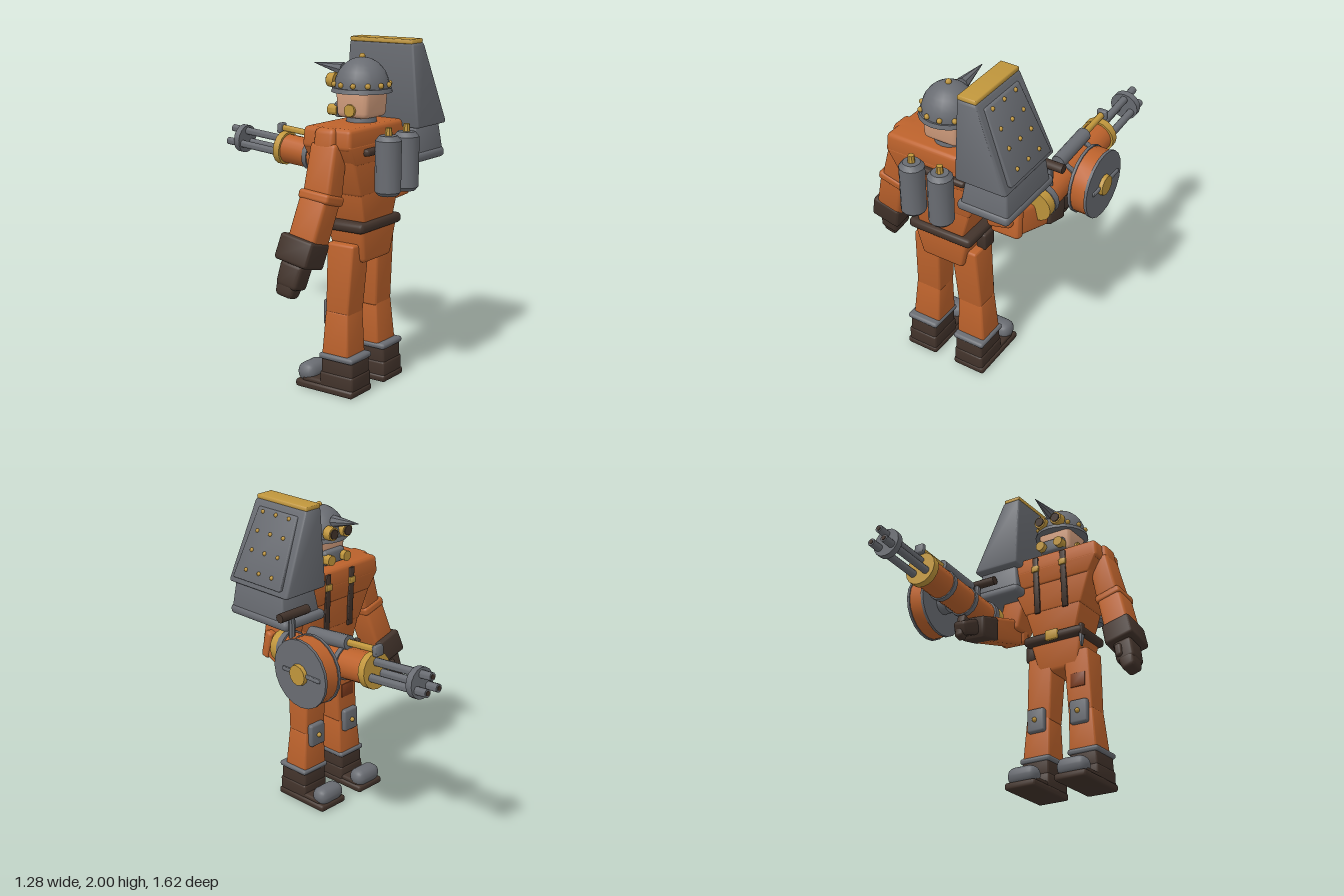
import * as THREE from 'three';
import { RoundedBoxGeometry } from 'three/addons/geometries/RoundedBoxGeometry.js';
import { toCreasedNormals } from 'three/addons/utils/BufferGeometryUtils.js';

const mat = (name, color) => { const m = new THREE.MeshStandardMaterial({ color }); m.name = name; return m; };
const orange = mat('orange suit', 0xbc622c), grey = mat('steel grey', 0x696c72), brown = mat('dark brown', 0x42332b);
const gold = mat('brass', 0xc0963c), skin = mat('skin', 0xd09c7c), patchMat = mat('rust patch', 0x7c3a1c);
const V = (x, y, z) => new THREE.Vector3(x, y, z);
const CX = -0.065, CZ = 0.5; // body centre line

export function createModel() {
  const root = new THREE.Group();
  root.name = 'armouredGunner';
  const add = (name, geo, m, parent = root) => {
    const mesh = new THREE.Mesh(geo, m);
    mesh.name = name;
    parent.add(mesh);
    return mesh;
  };
  // Rounded block lofted from a bottom to a top rectangle [x0, x1, z0, z1]
  const block = (name, m, y0, y1, b, t = b, r = 0.015, parent = root) => {
    const w = Math.max(b[1] - b[0], t[1] - t[0]), d = Math.max(b[3] - b[2], t[3] - t[2]), h = y1 - y0;
    const geo = new RoundedBoxGeometry(w, h, d, 2, Math.min(r, w / 2.1, h / 2.1, d / 2.1));
    const p = geo.attributes.position, L = THREE.MathUtils.lerp;
    for (let i = 0; i < p.count; i++) {
      const u = p.getX(i) / w + 0.5, v = p.getY(i) / h + 0.5, q = p.getZ(i) / d + 0.5;
      p.setXYZ(i, L(L(b[0], b[1], u), L(t[0], t[1], u), v), L(y0, y1, v), L(L(b[2], b[3], q), L(t[2], t[3], q), v));
    }
    return add(name, toCreasedNormals(geo, 0.7), m, parent);
  };
  // Tapered limb from a (top size) to c (bottom size)
  const limb = (name, m, a, c, top, bot, r = 0.025) => {
    const h = a.distanceTo(c), f = ([w, d]) => [-w / 2, w / 2, -d / 2, d / 2];
    const mesh = block(name, m, -h / 2, h / 2, f(bot), f(top), r);
    mesh.position.copy(a).add(c).multiplyScalar(0.5);
    mesh.quaternion.setFromUnitVectors(V(0, 1, 0), a.clone().sub(c).normalize());
    return mesh;
  };
  const cyl = (name, m, r0, r1, h, pos, axis = 'y', seg = 16, parent = root) => {
    const mesh = add(name, toCreasedNormals(new THREE.CylinderGeometry(r1, r0, h, seg), 0.7), m, parent);
    if (axis === 'x') mesh.rotation.z = -Math.PI / 2;
    if (axis === 'z') mesh.rotation.x = -Math.PI / 2; // r1 end points to -z
    mesh.position.copy(pos);
    return mesh;
  };
  const rivet = (pos, r = 0.013, parent = root) =>
    add('rivet', new THREE.SphereGeometry(r, 8, 6), gold, parent).position.copy(pos);

  // Legs and boots
  for (const s of [-1, 1]) {
    const side = s > 0 ? 'left' : 'right';
    const R = (a, b, z0, z1) => (s > 0 ? [CX + a, CX + b, z0, z1] : [CX - b, CX - a, z0, z1]);
    block(side + 'Sole', brown, 0.005, 0.05, R(0.065, 0.275, 0.24, 0.635));
    block(side + 'Foot', brown, 0.04, 0.075, R(0.075, 0.265, 0.28, 0.5));
    block(side + 'Boot', brown, 0.03, 0.13, R(0.07, 0.265, 0.405, 0.63));
    block(side + 'BootShaft', brown, 0.11, 0.22, R(0.075, 0.26, 0.41, 0.625), R(0.075, 0.255, 0.41, 0.62));
    block(side + 'ToeCap', grey, 0.035, 0.145, R(0.07, 0.268, 0.235, 0.355), undefined, 0.05);
    block(side + 'BootBand', grey, 0.205, 0.24, R(0.062, 0.27, 0.4, 0.63));
    block(side + 'Shin', orange, 0.22, 0.49, R(0.068, 0.255, 0.41, 0.59), R(0.068, 0.23, 0.42, 0.57));
    block(side + 'Thigh', orange, 0.46, 0.88, R(0.066, 0.23, 0.42, 0.57), R(0.04, 0.213, 0.415, 0.595));
    block(side + 'KneePad', grey, 0.39, 0.54, R(0.09, 0.21, 0.388, 0.435));
    rivet(V(CX + s * 0.15, 0.465, 0.383), 0.016);
  }
  block('thighPatch', patchMat, 0.63, 0.72, [CX - 0.19, CX - 0.09, 0.412, 0.42], undefined, 0.003);

  // Pelvis, belt and torso
  const T = (w, z0, z1) => [CX - w, CX + w, z0, z1];
  block('pelvis', orange, 0.77, 0.98, T(0.135, 0.42, 0.62), T(0.185, 0.39, 0.635), 0.025);
  block('belt', brown, 0.95, 1.01, T(0.21, 0.35, 0.65), undefined, 0.025);
  block('buckle', gold, 0.945, 1.015, T(0.045, 0.337, 0.36));
  block('waist', orange, 1.0, 1.19, T(0.15, 0.38, 0.625), T(0.205, 0.365, 0.635));
  block('ribs', orange, 1.16, 1.38, T(0.2, 0.365, 0.635), T(0.29, 0.345, 0.645));
  block('chest', orange, 1.34, 1.46, T(0.27, 0.345, 0.645), T(0.34, 0.33, 0.65));
  block('shoulderYoke', orange, 1.43, 1.55, T(0.34, 0.33, 0.65), T(0.33, 0.335, 0.645), 0.025);
  block('backStrap', brown, 1.39, 1.43, T(0.2, 0.63, 0.68));
  for (const s of [-1, 1]) {
    const x = CX + s * 0.1;
    block('suspender', brown, 1.15, 1.53, [x - 0.02, x + 0.02, 0.345, 0.36], [x - 0.02, x + 0.02, 0.322, 0.34], 0.005);
    block('suspenderClip', gold, 1.43, 1.47, [x - 0.025, x + 0.025, 0.318, 0.335], undefined, 0.004);
  }
  block('beltPouch', brown, 0.865, 0.975, [0.1, 0.165, 0.415, 0.515]);
  block('knifeHandle', brown, 0.94, 1.02, [-0.275, -0.25, 0.36, 0.4], undefined, 0.008);
  block('knifeBlade', grey, 0.87, 0.95, [-0.265, -0.255, 0.37, 0.385], [-0.272, -0.25, 0.36, 0.4], 0.004);

  // Back tanks
  for (const x of [-0.158, 0.028]) {
    const pts = [[0, 1.17], [0.055, 1.17], [0.073, 1.19], [0.073, 1.475], [0.05, 1.502], [0, 1.502]];
    const g = new THREE.LatheGeometry(pts.map(p => new THREE.Vector2(...p)), 12);
    add('backTank', toCreasedNormals(g, 0.6), grey).position.set(x, 0, 0.738);
    cyl('tankValve', gold, 0.022, 0.018, 0.05, V(x, 1.52, 0.738), 'y', 8);
  }

  // Head and helmet
  cyl('collar', grey, 0.09, 0.08, 0.05, V(CX, 1.565, CZ));
  block('head', skin, 1.575, 1.75, T(0.11, 0.4, 0.6), T(0.115, 0.39, 0.61), 0.03);
  block('respirator', grey, 1.57, 1.66, T(0.085, 0.365, 0.42), undefined, 0.02);
  const dome = add('helmetDome', new THREE.SphereGeometry(0.155, 20, 8, 0, Math.PI * 2, 0, Math.PI / 2), grey);
  dome.scale.y = 1.1;
  dome.position.set(CX, 1.738, CZ);
  cyl('helmetBrim', grey, 0.172, 0.165, 0.025, V(CX, 1.728, CZ), 'y', 20);
  rivet(V(CX, 1.912, CZ), 0.018);
  for (let i = 0; i < 12; i++) {
    const a = (i + 0.5) * Math.PI / 6;
    rivet(V(CX + 0.157 * Math.sin(a), 1.76, CZ + 0.157 * Math.cos(a)), 0.016);
  }
  cyl('helmetSpike', grey, 0.038, 0.002, 0.2, V(CX, 1.845, 0.275), 'z', 8).rotation.x += 0.12;
  for (const s of [-1, 1]) {
    cyl('goggleRim', gold, 0.044, 0.04, 0.05, V(CX + s * 0.058, 1.775, 0.345), 'z', 12);
    cyl('goggleLens', brown, 0.03, 0.03, 0.01, V(CX + s * 0.058, 1.775, 0.317), 'z', 12);
    cyl('respiratorCanister', gold, 0.032, 0.032, 0.06, V(CX + s * 0.065, 1.61, 0.36), 'z', 10);
    cyl('earPiece', gold, 0.035, 0.035, 0.025, V(CX + s * 0.115, 1.62, CZ), 'x', 10);
  }

  // Right arm hanging
  block('rightShoulder', orange, 1.4, 1.55, [-0.44, -0.3, 0.42, 0.56], [-0.42, -0.3, 0.425, 0.555], 0.03);
  limb('rightUpperArm', orange, V(-0.365, 1.46, 0.49), V(-0.43, 1.17, 0.49), [0.13, 0.17], [0.15, 0.18]);
  limb('rightElbowBand', orange, V(-0.43, 1.2, 0.49), V(-0.445, 1.145, 0.485), [0.175, 0.2], [0.17, 0.2], 0.02);
  limb('rightForearm', orange, V(-0.44, 1.17, 0.485), V(-0.515, 0.9, 0.445), [0.16, 0.18], [0.165, 0.18]);
  limb('rightCuff', brown, V(-0.512, 0.955, 0.44), V(-0.55, 0.81, 0.415), [0.185, 0.22], [0.19, 0.22], 0.02);
  limb('rightHand', brown, V(-0.55, 0.82, 0.41), V(-0.58, 0.68, 0.385), [0.125, 0.15], [0.12, 0.14]);
  limb('rightFingers', brown, V(-0.575, 0.72, 0.385), V(-0.6, 0.63, 0.37), [0.11, 0.13], [0.08, 0.11]);
  limb('rightThumb', brown, V(-0.53, 0.8, 0.34), V(-0.545, 0.71, 0.325), [0.05, 0.05], [0.045, 0.045], 0.02);

  // Left arm reaching forward to the gun
  limb('leftUpperArm', orange, V(0.2, 1.47, 0.49), V(0.29, 1.12, 0.48), [0.16, 0.18], [0.16, 0.18]);
  limb('leftElbowBand', orange, V(0.3, 1.14, 0.53), V(0.305, 1.13, 0.47), [0.19, 0.17], [0.19, 0.17], 0.02);
  limb('leftForearm', orange, V(0.3, 1.135, 0.51), V(0.35, 1.06, 0.2), [0.16, 0.16], [0.16, 0.16]);
  limb('leftCuff', brown, V(0.345, 1.07, 0.255), V(0.365, 1.04, 0.11), [0.19, 0.15], [0.19, 0.14], 0.02);
  limb('leftHand', brown, V(0.365, 1.05, 0.12), V(0.385, 1.0, 0.0), [0.12, 0.1], [0.1, 0.09]);
  limb('gunGrip', brown, V(0.39, 1.1, 0.06), V(0.39, 0.945, 0.02), [0.06, 0.07], [0.055, 0.06], 0.015);

  // Shoulder shield
  block('shieldPlate', grey, 1.5, 1.98, [0.13, 0.455, 0.25, 0.755], [0.13, 0.245, 0.285, 0.71], 0.02);
  block('shieldPanel', grey, 1.54, 1.94, [0.38, 0.461, 0.3, 0.705], [0.18, 0.275, 0.335, 0.66], 0.01);
  block('shieldCap', gold, 1.972, 2.0, [0.128, 0.245, 0.288, 0.705], undefined, 0.008);
  block('shieldSkirt', grey, 1.34, 1.52, [0.15, 0.45, 0.29, 0.735], [0.175, 0.43, 0.31, 0.71]);
  block('shieldFoot', grey, 1.3, 1.36, [0.13, 0.458, 0.258, 0.745], undefined, 0.025);
  for (const y of [1.6, 1.71, 1.815, 1.92])
    for (const z of [0.39, 0.5, 0.61]) rivet(V(0.275 + (1.94 - y) * 0.465, y, z));

  // Rotary gun, tilted slightly upward
  const gun = new THREE.Group();
  gun.name = 'rotaryGun';
  gun.position.set(0.393, 1.212, 0);
  gun.rotation.x = 0.085;
  root.add(gun);
  const tube = (name, m, r, z0, z1, x = 0, y = 0, seg = 16) =>
    cyl(name, m, r, r, z1 - z0, V(x, y, (z0 + z1) / 2), 'z', seg, gun);
  tube('gunBody', orange, 0.092, -0.38, 0.3);
  tube('rearCap', gold, 0.1, 0.3, 0.36);
  tube('rearRing', grey, 0.105, 0.265, 0.305);
  for (const z of [0.06, -0.165]) tube('bodyRing', grey, 0.1, z - 0.016, z + 0.016);
  tube('frontRing', gold, 0.106, -0.4, -0.355);
  for (let i = 0; i < 3; i++) {
    const a = i * Math.PI * 2 / 3;
    tube('barrel', grey, 0.024, -0.805, -0.36, 0.053 * Math.sin(a), 0.053 * Math.cos(a), 10);
    tube('muzzleBore', brown, 0.014, -0.809, -0.8, 0.053 * Math.sin(a), 0.053 * Math.cos(a), 10);
  }
  tube('barrelClamp', grey, 0.09, -0.73, -0.69);
  tube('topCylinder', grey, 0.042, -0.2, 0.1, 0, 0.125, 12);
  tube('topRod', gold, 0.02, -0.41, -0.19, 0, 0.125, 10);
  block('rodBracket', grey, 0.09, 0.155, [-0.033, 0.033, -0.435, -0.4], undefined, 0.012, gun);
  cyl('carryHandle', brown, 0.028, 0.028, 0.22, V(0.4, 1.41, 0.25), 'x', 10);
  cyl('handlePost', grey, 0.02, 0.02, 0.14, V(0.42, 1.33, 0.245), 'y', 8);

  // Ammunition drum
  const dc = x => V(x, 1.183, -0.022);
  cyl('drumMount', grey, 0.065, 0.065, 0.07, dc(0.48), 'x', 12);
  cyl('drumBody', orange, 0.198, 0.198, 0.09, dc(0.56), 'x', 20);
  for (const x of [0.508, 0.612]) cyl('drumRim', grey, 0.205, 0.205, 0.017, dc(x), 'x', 20);
  cyl('drumHub', gold, 0.065, 0.06, 0.03, dc(0.628), 'x', 12);
  block('drumCrank', grey, 1.175, 1.2, [0.615, 0.632, -0.185, 0.11], undefined, 0.006);
  return root;
}
